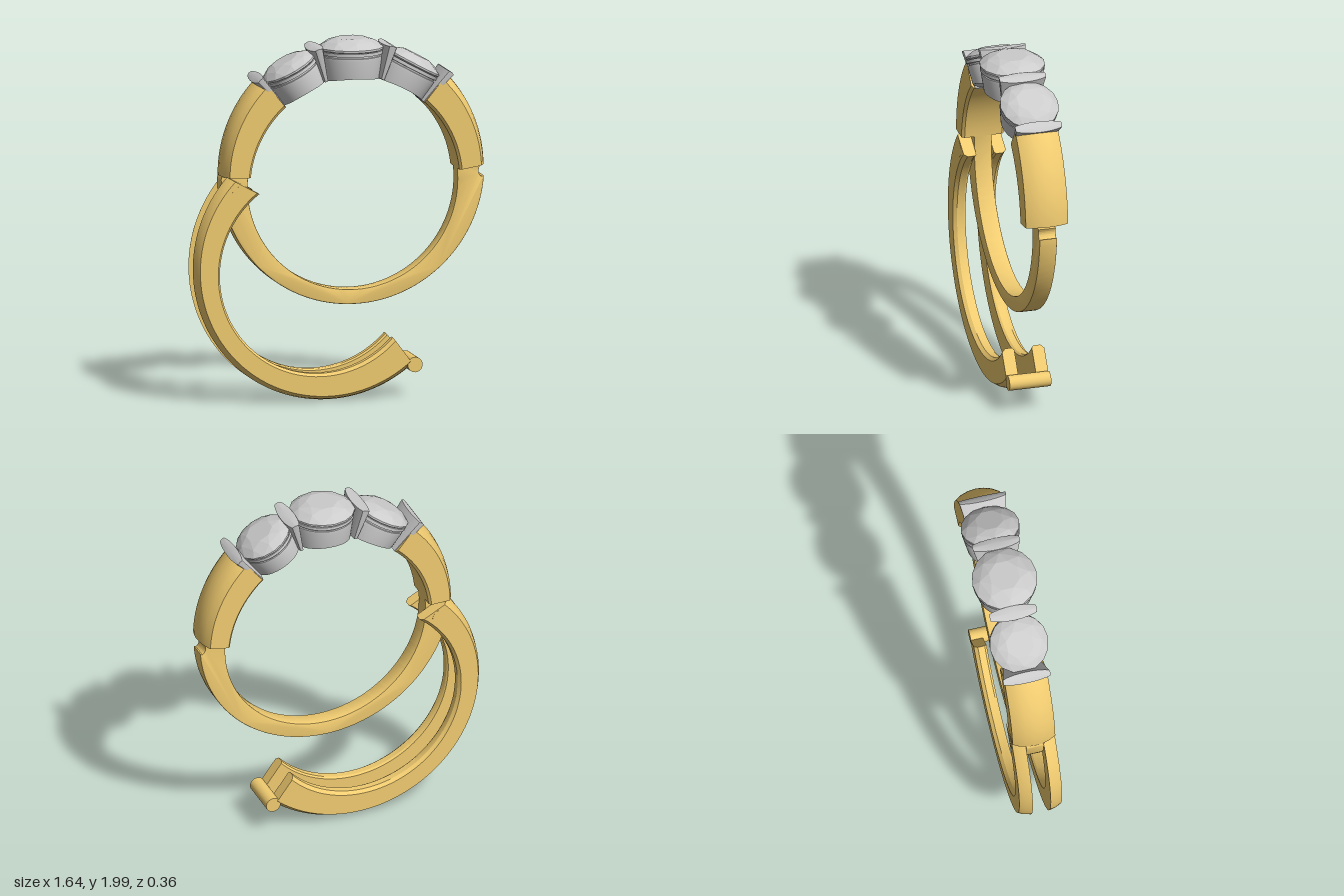
import * as THREE from 'three';
import { toCreasedNormals } from 'three/addons/utils/BufferGeometryUtils.js';
import { ConvexGeometry } from 'three/addons/geometries/ConvexGeometry.js';

const CX = 0.08, CY = 1.2, R_IN = 0.59;   // finger circle
const OY = 1.27, R_OUT = 0.742;           // outer circle of the band, set higher
const rad = THREE.MathUtils.degToRad;

const gold = new THREE.MeshStandardMaterial({ color: 0xf0cb70 });
const grey = new THREE.MeshStandardMaterial({ color: 0xcccccc });

function part(name, geometry, material) {
  const mesh = new THREE.Mesh(geometry, material);
  mesh.name = name;
  return mesh;
}

// Arc description: centre, radius, start and end angle in degrees
const arc = (x, y, r, a0, a1) => (t) => {
  const a = rad(a0 + (a1 - a0) * t);
  return [x + r * Math.cos(a), y + r * Math.sin(a)];
};

// Sweep a convex section [u, z] between an inner arc (u = 0) and an outer arc (u = 1)
function sweep(inner, outer, section, steps) {
  const pos = [], idx = [], n = section.length;
  for (let i = 0; i <= steps; i++) {
    const [ix, iy] = inner(i / steps), [ox, oy] = outer(i / steps);
    for (const [u, z] of section) pos.push(ix + (ox - ix) * u, iy + (oy - iy) * u, z);
  }
  for (let i = 0; i < steps; i++) {
    for (let j = 0; j < n; j++) {
      const a = i * n + j, b = i * n + (j + 1) % n;
      idx.push(a, b, a + n, b, b + n, a + n);
    }
  }
  const last = steps * n;
  for (let j = 1; j < n - 1; j++) idx.push(0, j + 1, j, last, last + j, last + j + 1);

  // Turn the faces outward whichever way the arc runs
  const v = (i) => new THREE.Vector3().fromArray(pos, i * 3);
  let volume = 0;
  for (let i = 0; i < idx.length; i += 3) volume += v(idx[i]).dot(v(idx[i + 1]).cross(v(idx[i + 2])));
  if (volume < 0) idx.reverse();

  const geo = new THREE.BufferGeometry();
  geo.setAttribute('position', new THREE.Float32BufferAttribute(pos, 3));
  geo.setIndex(idx);
  return toCreasedNormals(geo, 0.5);
}

// Wide, crowned shoulder between the setting and the lower band
function shoulder(side) {
  const flip = (a) => (side > 0 ? a : 180 - a);
  const section = [[0, -0.105], [0, 0.105], [0.08, 0.12], [0.78, 0.12], [0.9, 0.085], [0.97, 0.045],
    [1, 0], [0.97, -0.045], [0.9, -0.085], [0.78, -0.12], [0.08, -0.12]];
  const low = side > 0 ? 1.2 : -0.5;
  return sweep(arc(CX, CY, R_IN, flip(5.8), flip(48.5)),
    arc(CX, OY, R_OUT, flip(low), flip(45.5)), section, 24);
}

// Narrow fixed band, notched on its left end for the clasp pin
function fixedBand() {
  const s = new THREE.Shape();
  const e = 0.006;
  s.moveTo(CX - R_IN - e, 1.262);
  s.lineTo(CX - R_OUT + e, 1.262);
  s.absarc(CX, OY, R_OUT - e, rad(180.5), rad(355), false);
  s.absarc(0.825, 1.24, 0.042, rad(245), rad(150), true);
  s.lineTo(CX + R_IN + e, 1.262);
  s.absarc(CX, CY, R_IN + e, rad(6), rad(-186), true);
  const geo = new THREE.ExtrudeGeometry(s, {
    depth: 0.088, curveSegments: 64, bevelSize: e, bevelThickness: e, bevelSegments: 2,
  });
  geo.translate(0, 0, -0.044);
  return toCreasedNormals(geo, 0.6);
}

// One rail of the opened fork
function forkRail(side) {
  const section = [[0.05, 0.05], [0, 0.062], [0, 0.1], [0.1, 0.12], [0.82, 0.12], [0.93, 0.09], [1, 0.05]];
  return sweep(arc(-0.12, 0.72, 0.56, 127, 317.6), arc(-0.07, 0.757, 0.75, 138, 310),
    section.map(([u, z]) => [u, z * side]), 72);
}

function pin(x, y, r, length) {
  const geo = new THREE.CylinderGeometry(r, r, length, 28);
  geo.rotateX(Math.PI / 2);
  geo.translate(x, y, 0);
  return geo;
}

// Faceted gem, girdle at y = 0
function gemGeometry(r) {
  const pts = [new THREE.Vector3(0, -0.6 * r, 0)];
  const ring = (n, radius, y, turn) => {
    for (let i = 0; i < n; i++) {
      const a = (i + turn) / n * Math.PI * 2;
      pts.push(new THREE.Vector3(radius * Math.cos(a), y, radius * Math.sin(a)));
    }
  };
  ring(8, 0.48 * r, 0.3 * r, 0.5);
  ring(8, 0.77 * r, 0.205 * r, 0);
  ring(16, r, 0.03 * r, 0);
  ring(16, r, -0.03 * r, 0);
  return new ConvexGeometry(pts);
}

// Open collet whose underside follows the finger circle
function colletGeometry(r, top) {
  const low = R_IN;
  const profile = [[0.42, low], [0.86, low], [0.95, top - 0.045], [0.95, top - 0.03], [0.91, top - 0.028],
    [0.91, top - 0.02], [0.98, top - 0.018], [0.98, top], [0.9, top], [0.42, low + 0.055], [0.42, low]];
  const geo = new THREE.LatheGeometry(profile.map(([x, y]) => new THREE.Vector2(x * r, y)), 48);
  const p = geo.attributes.position;
  for (let i = 0; i < p.count; i++) {
    const x = p.getX(i), y = p.getY(i);
    const fade = THREE.MathUtils.clamp((top - 0.045 - y) / (top - 0.045 - low), 0, 1);
    p.setY(i, y + (Math.sqrt(R_IN * R_IN - x * x) - R_IN) * fade);
  }
  return toCreasedNormals(geo, 0.5);
}

function setting(name, angle, r, height) {
  const group = new THREE.Group();
  group.name = name;
  const collet = part('collet', colletGeometry(r, height - 0.012), grey);
  const gem = part('gem', gemGeometry(r), grey);
  gem.position.y = height;
  group.add(collet, gem);
  group.position.set(CX, CY, 0);
  group.rotation.z = rad(-angle);
  return group;
}

// Lens-shaped bar that flares toward its slanted top
function prong(angle, y0, y1, thick) {
  const h = y1 - y0;
  const geo = new THREE.CylinderGeometry(1, 1, h, 24);
  const p = geo.attributes.position;
  for (let i = 0; i < p.count; i++) {
    const t = p.getY(i) / h + 0.5;
    const z = THREE.MathUtils.clamp(p.getZ(i), -0.88, 0.88) * THREE.MathUtils.lerp(0.115, 0.15, t);
    const x = p.getX(i) * THREE.MathUtils.lerp(thick * 0.4, thick, t);
    p.setXYZ(i, x, y0 + t * h - Math.abs(x) * 0.25 * t, z);
  }
  const mesh = part('prongBar', toCreasedNormals(geo, 0.5), grey);
  mesh.position.set(CX, CY, 0);
  mesh.rotation.z = rad(-angle);
  return mesh;
}

export function createModel() {
  const model = new THREE.Group();
  model.name = 'hingedRing';

  // Band
  model.add(part('leftShoulder', shoulder(1), gold), part('rightShoulder', shoulder(-1), gold),
    part('fixedBand', fixedBand(), gold));

  // Opened fork with its hinge and clasp pins
  const fork = new THREE.Group();
  fork.name = 'hingedFork';
  for (const side of [1, -1]) fork.add(part('forkRail', forkRail(side), gold));
  fork.add(part('claspPin', pin(0.415, 0.19, 0.042, 0.236), gold),
    part('hingePin', pin(-0.57, 1.17, 0.045, 0.242), gold));
  model.add(fork);

  // Three stones and the bars between them
  model.add(setting('centreStone', 0, 0.18, 0.745));
  for (const side of [1, -1]) {
    model.add(setting('sideStone', side * 28.3, 0.163, 0.735));
    model.add(prong(side * 15.4, 0.595, 0.79, 0.04), prong(side * 41.8, 0.588, 0.81, 0.033));
  }
  return model;
}
